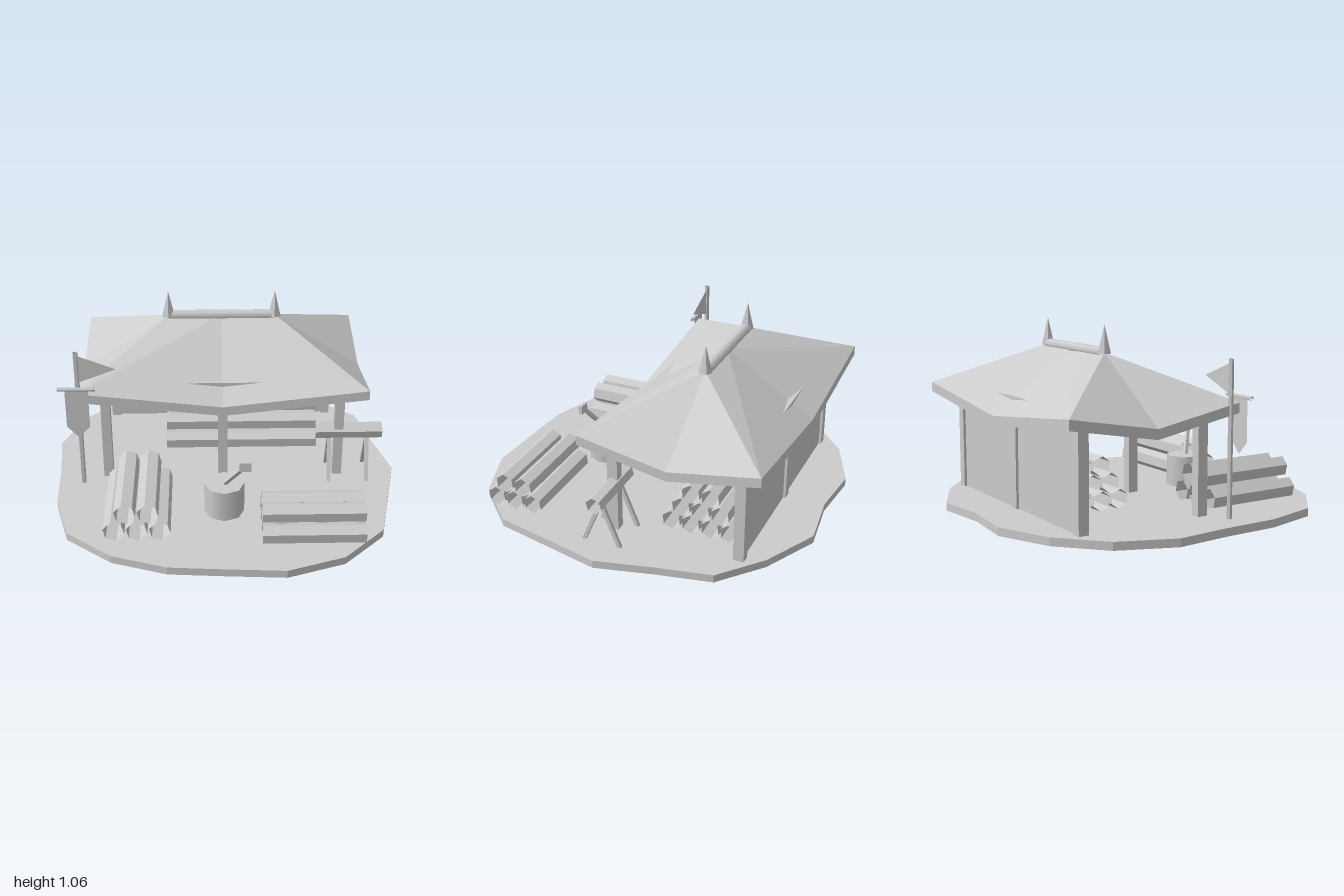
import * as THREE from 'three';

export function createModel() {
  const model = new THREE.Group();
  const grey = new THREE.MeshStandardMaterial({ color: 0xcccccc, side: THREE.DoubleSide });
  grey.name = 'light grey';
  const V = (x, y, z) => new THREE.Vector3(x, y, z);

  function add(name, geometry, parent = model, flat = true) {
    let g = geometry;
    if (flat) {
      if (g.index) g = g.toNonIndexed();
      g.computeVertexNormals();
    }
    const mesh = new THREE.Mesh(g, grey);
    mesh.name = name;
    parent.add(mesh);
    return mesh;
  }
  function group(name) {
    const g = new THREE.Group();
    g.name = name;
    model.add(g);
    return g;
  }
  const box = (name, x0, x1, y0, y1, z0, z1, parent) =>
    add(name, new THREE.BoxGeometry(x1 - x0, y1 - y0, z1 - z0)
      .translate((x0 + x1) / 2, (y0 + y1) / 2, (z0 + z1) / 2), parent);

  // Open bar between two points; four sides make a square bar
  function strut(name, a, b, r, sides, parent) {
    const d = b.clone().sub(a);
    const g = new THREE.CylinderGeometry(r, r, d.length(), sides, 1, true);
    g.rotateY(Math.PI / sides);
    g.applyQuaternion(new THREE.Quaternion().setFromUnitVectors(V(0, 1, 0), d.normalize()));
    g.translate((a.x + b.x) / 2, (a.y + b.y) / 2, (a.z + b.z) / 2);
    return add(name, g, parent);
  }
  // Hollow six-sided log, along z or along x
  function log(name, axis, length, r, tilt, x, y, z, parent) {
    const g = new THREE.CylinderGeometry(r, r, length, 6, 1, true);
    g.rotateX(Math.PI / 2).rotateZ(THREE.MathUtils.degToRad(tilt));
    if (axis === 'x') g.rotateY(Math.PI / 2);
    return add(name, g.translate(x, y, z), parent);
  }
  // Stacked rows of logs, one fewer in each higher row
  function logPile(name, axis, rows, count, length, r, tilt, pitch, rise, x, y, z) {
    const pile = group(name);
    for (let row = 0; row < rows; row++) {
      const n = count - row;
      for (let i = 0; i < n; i++) {
        const o = (i - (n - 1) / 2) * pitch;
        log('log', axis, length, r, tilt,
          x + (axis === 'z' ? o : 0), y + row * rise, z + (axis === 'x' ? o : 0), pile);
      }
    }
  }

  // Ground slab with an uneven outline (x, z)
  const outline = [
    [-0.325, -0.98], [-0.01, -0.948], [0.31, -0.986], [0.62, -0.828], [0.855, -0.625],
    [0.92, -0.316], [1, 0.003], [0.93, 0.318], [0.86, 0.635], [0.625, 0.875], [0.31, 0.986],
    [-0.01, 0.967], [-0.32, 0.945], [-0.62, 0.84], [-0.875, 0.63], [-0.96, 0.313],
    [-0.97, 0.003], [-1, -0.316], [-0.875, -0.63], [-0.635, -0.85]];
  const ground = new THREE.Shape(outline.map(([x, z]) => new THREE.Vector2(x, -z)));
  add('groundSlab', new THREE.ExtrudeGeometry(ground, { depth: 0.045, bevelEnabled: false })
    .rotateX(-Math.PI / 2));

  // Posts, top beams and back wall
  const frame = group('frame');
  for (const z of [0.034, -0.695]) {
    for (const x of [-0.682, -0.01, 0.663])
      box('post', x - 0.027, x + 0.027, 0.04, 0.6, z - 0.03, z + 0.03, frame);
    box('beam', -0.71, 0.69, 0.61, 0.664, z - 0.034, z + 0.034, frame);
  }
  box('backWall', -0.685, 0.662, 0.04, 0.6, -0.71, -0.68, frame);

  // Hipped roof whose eaves dip halfway along each side, with a valley at mid-ridge
  const zr = -0.334, zf = 0.177, zb = -0.844;
  const ring = [
    V(0.81, 0.66, zf), V(0.81, 0.567, zr), V(0.81, 0.66, zb), V(-0.01, 0.567, zb),
    V(-0.83, 0.66, zb), V(-0.83, 0.567, zr), V(-0.83, 0.66, zf), V(-0.01, 0.567, zf)];
  const low = ring.map(p => V(p.x, p.y - 0.055, p.z));
  const R = V(0.3, 0.905, zr), M = V(-0.01, 0.905, zr), L = V(-0.32, 0.905, zr);
  const under = V(-0.01, 0.486, zr);
  const apex = [R, R, M, M, L, L, M, M];
  const tris = [ring[2], M, R, ring[0], R, M, ring[4], L, M, ring[6], M, L];
  for (let i = 0; i < 8; i++) {
    const j = (i + 1) % 8;
    tris.push(ring[i], ring[j], apex[i]);
    tris.push(low[i], low[j], ring[j], low[i], ring[j], ring[i]);
    tris.push(low[j], low[i], under);
  }
  add('roof', new THREE.BufferGeometry().setFromPoints(tris));

  // Ridge pole and pointed finials
  add('ridgePole', new THREE.CylinderGeometry(0.031, 0.031, 0.62, 8, 1, true)
    .rotateZ(Math.PI / 2).translate(-0.01, 0.904, zr), model, false);
  for (const x of [-0.32, 0.3])
    add('finial', new THREE.ConeGeometry(0.04, 0.155, 6).translate(x, 0.978, zr));

  // Log piles
  logPile('leftLogPile', 'z', 2, 3, 0.56, 0.06, 14, 0.125, 0.11, -0.487, 0.105, 0.427);
  logPile('frontLogPile', 'x', 2, 3, 0.557, 0.056, 7, 0.114, 0.096, 0.468, 0.104, 0.623);
  logPile('shelteredLogPile', 'x', 3, 4, 0.91, 0.056, 7, 0.113, 0.096, 0.11, 0.104, -0.425);

  // Sawhorse with a log across it
  const sawhorse = group('sawhorse');
  log('sawnLog', 'x', 0.387, 0.047, 15, 0.722, 0.326, 0.03, sawhorse);
  for (const x of [0.61, 0.83])
    for (const s of [-1, 1])
      strut('leg', V(x, 0.003, 0.032 + s * 0.122), V(x, 0.3, 0.032), 0.015, 4, sawhorse);

  // Chopping block and axe
  add('choppingBlock', new THREE.CylinderGeometry(0.112, 0.112, 0.185, 8)
    .translate(-0.009, 0.1325, 0.424), model, false);
  const axe = group('axe');
  strut('handle', V(-0.01, 0.22, 0.424), V(0.095, 0.385, 0.519), 0.014, 4, axe);
  box('axeHead', 0.07, 0.135, 0.368, 0.42, 0.513, 0.535, axe);

  // Flagpole, pennant and hanging banner
  const flag = group('flagpole');
  strut('pole', V(-0.824, 0.03, 0.122), V(-0.824, 0.89, 0.122), 0.015, 5, flag);
  add('pennant', new THREE.ShapeGeometry(new THREE.Shape([
    new THREE.Vector2(0, 0.87), new THREE.Vector2(0, 0.705), new THREE.Vector2(0.21, 0.785)]))
    .translate(-0.815, 0, 0.122), flag);
  add('crossbar', new THREE.CylinderGeometry(0.012, 0.012, 0.21, 5, 1, true)
    .rotateZ(Math.PI / 2).translate(-0.825, 0.692, 0.178), flag);
  add('banner', new THREE.ShapeGeometry(new THREE.Shape([
    new THREE.Vector2(-0.065, 0.69), new THREE.Vector2(-0.065, 0.455),
    new THREE.Vector2(0, 0.385), new THREE.Vector2(0.065, 0.455),
    new THREE.Vector2(0.065, 0.69)])).translate(-0.825, 0, 0.18), flag);

  return model;
}
